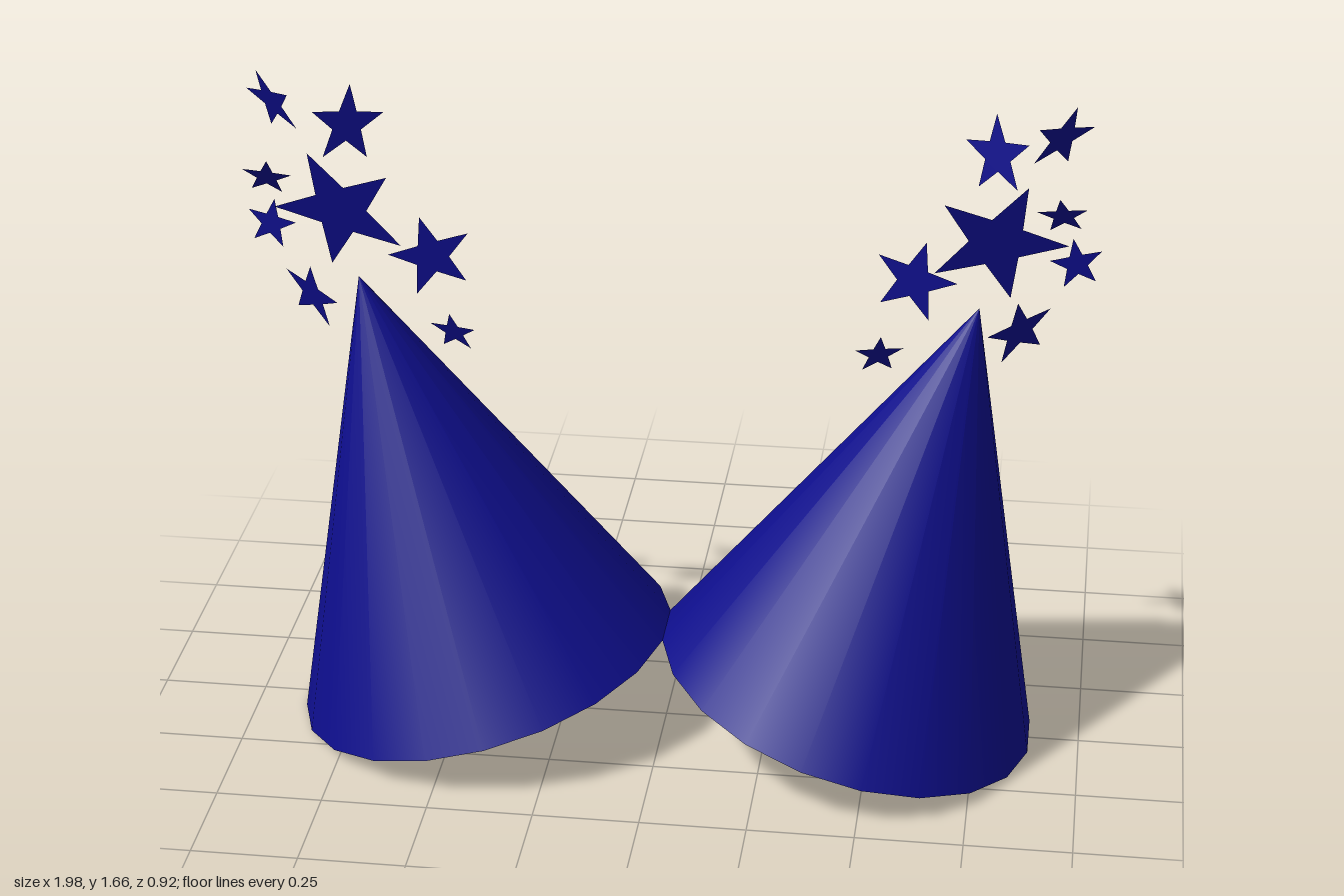
import * as THREE from 'three';

const navy = new THREE.MeshStandardMaterial({ color: 0x0e0e8c, side: THREE.DoubleSide });
navy.name = 'navy';

// Five-pointed flat star with its first tip pointing up
function starGeometry(radius) {
  const points = [];
  for (let i = 0; i < 10; i++) {
    const r = i % 2 ? radius * 0.4 : radius;
    const a = Math.PI / 2 + (i * Math.PI) / 5;
    points.push(new THREE.Vector2(r * Math.cos(a), r * Math.sin(a)));
  }
  return new THREE.ShapeGeometry(new THREE.Shape(points));
}

// Stars of the left side: x, y, z, radius, then pitch, yaw and roll in degrees
const stars = [
  [0.755, 1.3, 0.025, 0.163, 14, 8, -22],
  [0.89, 1.58, 0.08, 0.085, 20, 38, -10],
  [0.745, 1.485, -0.04, 0.094, -8, -36, 10],
  [0.9, 1.41, 0.118, 0.059, 30, 0, 8],
  [0.935, 1.23, -0.04, 0.063, 0, 10, 10],
  [0.815, 1.11, 0.083, 0.088, 15, 36, 15],
  [0.565, 1.15, -0.08, 0.102, 0, -10, -15],
  [0.495, 1.01, 0.033, 0.059, 22, 14, 0],
];

function createSide(sign, name) {
  const side = new THREE.Group();
  side.name = name;

  // Hollow cone leaning outwards, open at the base
  const cone = new THREE.Mesh(
    new THREE.ConeGeometry(0.463, 1.043, 20, 1, true, Math.PI / 20), navy);
  cone.name = 'cone';
  cone.position.set(sign * 0.58, 0.6275, 0.005);
  cone.rotation.set(0.012, 0, -sign * 0.272);
  side.add(cone);

  // Stars scattered around the tip
  const rad = THREE.MathUtils.degToRad;
  stars.forEach(([x, y, z, radius, pitch, yaw, roll], i) => {
    const star = new THREE.Mesh(starGeometry(radius), navy);
    star.name = 'star' + (i + 1);
    star.position.set(sign * x, y, z);
    star.rotation.set(rad(pitch), sign * rad(yaw), sign * rad(roll), 'YXZ');
    side.add(star);
  });
  return side;
}

export function createModel() {
  const model = new THREE.Group();
  model.name = 'starCones';
  model.add(createSide(1, 'leftCone'), createSide(-1, 'rightCone'));
  return model;
}
